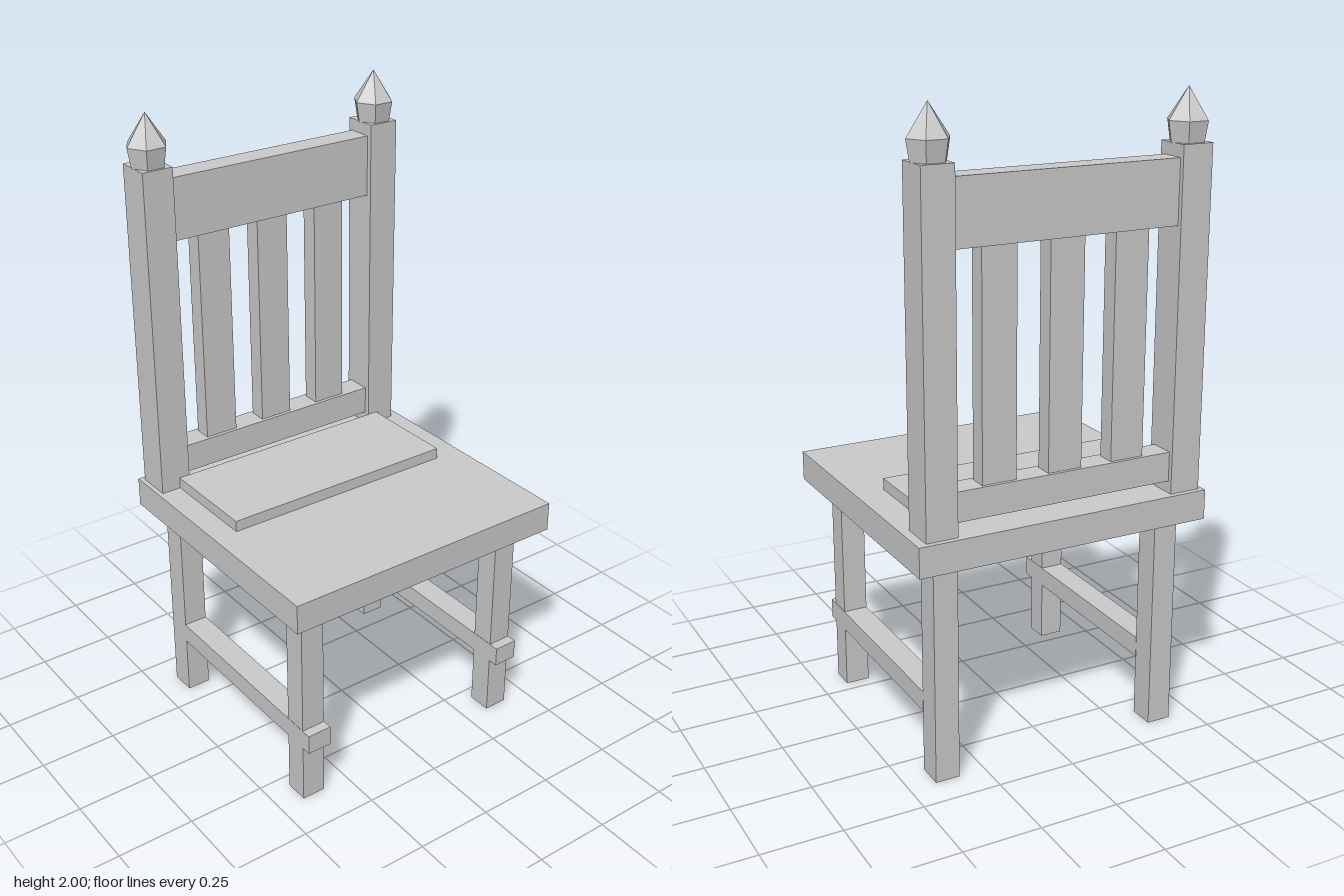
import * as THREE from 'three';

const material = new THREE.MeshStandardMaterial({ color: 0xcccccc, flatShading: true });

// Box given by its extents along each axis
function block(name, [x0, x1], [y0, y1], [z0, z1]) {
  const mesh = new THREE.Mesh(new THREE.BoxGeometry(x1 - x0, y1 - y0, z1 - z0), material);
  mesh.position.set((x0 + x1) / 2, (y0 + y1) / 2, (z0 + z1) / 2);
  mesh.name = name;
  return mesh;
}

// Six-sided pointed cap; its corners lie on the x axis
function finial(name, x) {
  const profile = [[0, 0], [0.054, 0], [0.065, 0.065], [0, 0.16]].map(([r, y]) => new THREE.Vector2(r, y));
  const mesh = new THREE.Mesh(new THREE.LatheGeometry(profile, 6, Math.PI / 2), material);
  mesh.position.set(x, 1.84, -0.378);
  mesh.name = name;
  return mesh;
}

export function createModel() {
  const chair = new THREE.Group();
  chair.name = 'chair';

  // Seat and the thin board lying on it in front of the back
  chair.add(block('seat', [-0.483, 0.48], [0.695, 0.79], [-0.453, 0.448]));
  chair.add(block('seatBoard', [-0.404, 0.384], [0.785, 0.826], [-0.322, 0.01]));

  // Legs and the side stretchers that run through the front legs
  for (const [side, x] of [['Right', [-0.416, -0.338]], ['Left', [0.336, 0.414]]]) {
    chair.add(block('front' + side + 'Leg', x, [0, 0.7], [0.291, 0.369]));
    chair.add(block('back' + side + 'Leg', x, [0, 0.7], [-0.402, -0.318]));
    const inset = [x[0] - 0.001, x[1] + 0.001];
    chair.add(block('stretcher' + side, inset, [0.2, 0.265], [-0.32, 0.402]));
  }

  // Back posts with finials
  for (const [side, x] of [['Right', -0.418], ['Left', 0.4]]) {
    chair.add(block('backPost' + side, [x - 0.05, x + 0.05], [0.785, 1.843], [-0.436, -0.322]));
    chair.add(finial('finial' + side, x));
  }

  // Rails and slats of the back
  chair.add(block('topRail', [-0.375, 0.355], [1.61, 1.805], [-0.421, -0.34]));
  chair.add(block('lowerRail', [-0.375, 0.355], [0.828, 0.921], [-0.421, -0.34]));
  for (const x of [-0.222, -0.01, 0.205]) {
    chair.add(block('backSlat', [x - 0.055, x + 0.055], [0.91, 1.62], [-0.41, -0.352]));
  }

  return chair;
}
